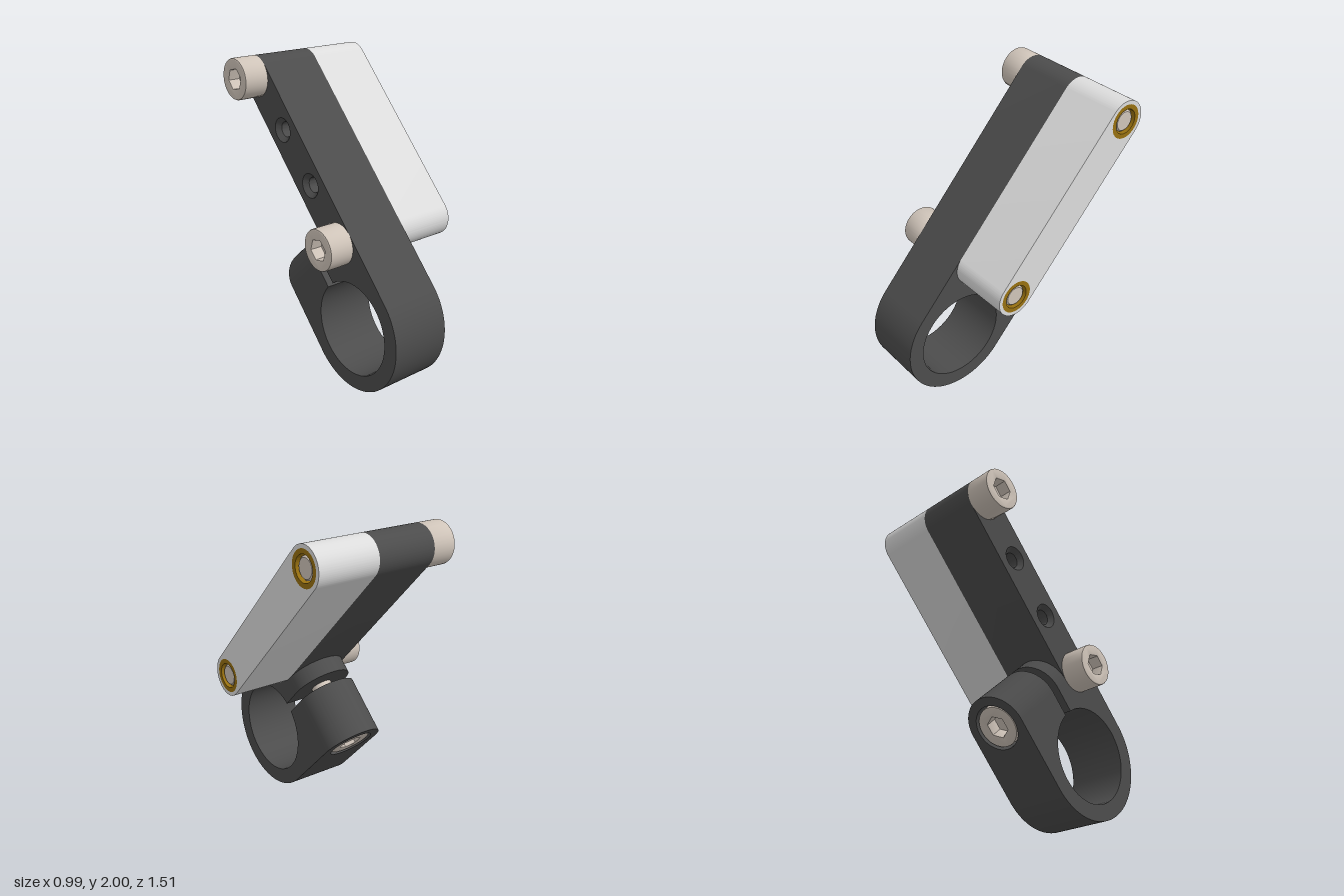
import * as THREE from 'three';
import { toCreasedNormals } from 'three/addons/utils/BufferGeometryUtils.js';

const mat = (name, color) => Object.assign(new THREE.MeshStandardMaterial({ color }), { name });

// Local frame: x runs along the arm from the lower pivot, y across it, z is the model's width.
const L = 1.242, R = 0.135, HALF = 0.205, MID = -0.125;

function extrude(shape, depth, bevel = 0) {
  const g = new THREE.ExtrudeGeometry(shape, {
    depth: depth - 2 * bevel, curveSegments: 36, bevelEnabled: bevel > 0,
    bevelSize: bevel, bevelThickness: bevel, bevelOffset: -bevel, bevelSegments: 2,
  });
  g.translate(0, 0, bevel);
  return toCreasedNormals(g, 0.5);
}

const circle = (x, y, r) => new THREE.Path().absarc(x, y, r, 0, Math.PI * 2, false);

function disc(r, ...holes) {
  const s = new THREE.Shape().absarc(0, 0, r, 0, Math.PI * 2, false);
  s.holes.push(...holes);
  return s;
}

function lathe(points) {
  const g = new THREE.LatheGeometry(points.map(p => new THREE.Vector2(...p)), 36);
  g.rotateX(Math.PI / 2); // axis along z
  return toCreasedNormals(g.toNonIndexed(), 0.5);
}

export function createModel() {
  const black = mat('dark anodised', 0x4c4c4c);
  const silver = mat('light alloy', 0xdcdcdc);
  const steel = mat('steel', 0xcfc4b9);
  const brass = mat('brass', 0x977010);
  const darkInside = mat('hole lining', 0x4a4a4a);
  darkInside.side = THREE.DoubleSide;

  const group = new THREE.Group();
  const add = (name, geo, material, x = 0, y = 0, z = 0, parent = group) => {
    const m = new THREE.Mesh(geo, material);
    m.name = name;
    m.position.set(x, y, z);
    parent.add(m);
    return m;
  };

  // Clamp ring and arm in one slotted profile
  const cu = -0.477, cv = -0.28, Q = Math.PI / 2;
  const body = new THREE.Shape();
  body.moveTo(cu, cv + 0.415);
  body.lineTo(L, R);
  body.absarc(L, 0, R, Q, -Q, true);
  body.lineTo(0, -R);
  body.lineTo(0, -0.245);
  body.absarc(cu, cv, 0.31, 0.113, Math.PI * 2 - 0.09, false);
  body.lineTo(0, -0.308);
  body.lineTo(0, -0.56);
  body.lineTo(-0.17, -0.56);
  body.lineTo(-0.17, cv - 0.415);
  body.lineTo(cu, cv - 0.415);
  body.absarc(cu, cv, 0.415, -Q, Q, true);
  const spare = [L / 3, 2 * L / 3];
  spare.forEach(u => body.holes.push(circle(u, 0, 0.08)));
  add('clampArm', extrude(body, 2 * HALF), black, 0, 0, MID - HALF);

  // Countersunk spare holes in the arm
  spare.forEach(u => add('spareHole',
    lathe([[0.08, -0.33], [0.05, -0.3], [0.05, 0.07], [0, 0.07]]), darkInside, u));

  // Round-ended clamp jaws, stacked across the arm
  const jaw = (name, top, bottom, back, hole) => {
    const s = new THREE.Shape();
    s.moveTo(back, -HALF);
    s.lineTo(0, -HALF);
    s.absarc(0, 0, HALF, -Q, Q, false);
    s.lineTo(back, HALF);
    s.closePath();
    if (hole) s.holes.push(circle(0, 0, hole));
    add(name, extrude(s, top - bottom), black, 0, top, MID).rotation.x = Q;
  };
  jaw('upperJaw', -0.13, -0.245, 0);
  jaw('lowerJaw', -0.308, -0.56, 0);
  jaw('counterbore', -0.56, cv - 0.415, -0.17, 0.147);

  // Light bar bolted beside the arm, with brass inserts
  const bar = new THREE.Shape();
  bar.absarc(0, 0, R, Q, 3 * Q, false);
  bar.absarc(L, 0, R, -Q, Q, false);
  bar.closePath();
  [0, L].forEach(u => bar.holes.push(circle(u, 0, 0.11)));
  add('sideBar', extrude(bar, 0.415), silver, 0, 0, 0.08);
  [0, L].forEach(u => add('insert', extrude(disc(0.11, circle(0, 0, 0.08)), 0.415), brass, u, 0, 0.08));

  // Socket-head screw: head towards +z, shank towards -z
  const screw = (name, h, len, x, y, z) => {
    const s = new THREE.Group();
    s.name = name;
    s.position.set(x, y, z);
    const hex = new THREE.Path().setFromPoints(Array.from({ length: 7 }, (_, i) =>
      new THREE.Vector2(0.07 * Math.cos(i * Math.PI / 3), 0.07 * Math.sin(i * Math.PI / 3))));
    add('head', extrude(disc(R, hex), h + 0.01, 0.01), steel, 0, 0, -0.01, s);
    add('socketFloor', new THREE.CircleGeometry(0.09, 24), steel, 0, 0, h - 0.08, s);
    add('shank', lathe([[0, -len], [0.06, -len], [0.07, -len + 0.01], [0.07, 0], [0, 0]]), steel, 0, 0, 0, s);
    group.add(s);
    return s;
  };
  [0, L].forEach(u => { screw('pivotScrew', 0.165, 0.815, u, 0, -0.33).rotation.y = Math.PI; });
  screw('clampScrew', 0.128, 0.36, 0, -0.56, MID).rotation.x = Q;

  // Lean the assembly into place
  const a = new THREE.Vector3(0, 0.7328, -0.6804).normalize();
  const b = new THREE.Vector3(0, -a.z, a.y);
  group.quaternion.setFromRotationMatrix(
    new THREE.Matrix4().makeBasis(a, b, new THREE.Vector3(1, 0, 0)));
  group.position.set(0, 0.955, 0.225);

  const model = new THREE.Group();
  model.name = 'clampBracket';
  model.add(group);
  return model;
}
